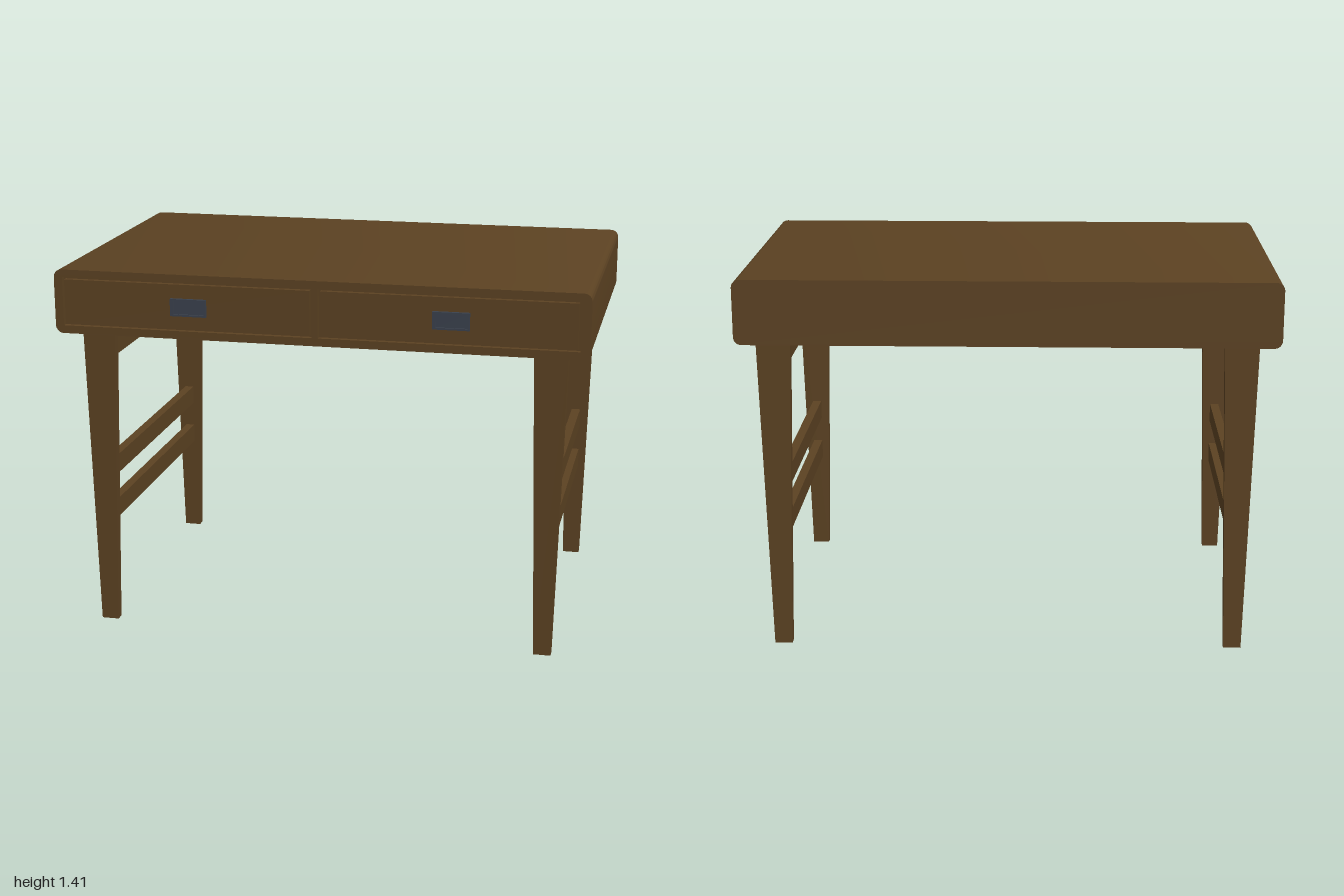
import * as THREE from 'three';
import { toCreasedNormals } from 'three/addons/utils/BufferGeometryUtils.js';

const wood = new THREE.MeshStandardMaterial({ color: 0x5c4222 });
wood.name = 'walnutWood';
const metal = new THREE.MeshStandardMaterial({ color: 0x3a414d });
metal.name = 'slateMetal';

function rect(Type, x0, x1, y0, y1) {
  const s = new Type();
  s.moveTo(x0, y0);
  s.lineTo(x1, y0);
  s.lineTo(x1, y1);
  s.lineTo(x0, y1);
  s.closePath();
  return s;
}

function roundedRect(x0, x1, y0, y1, r) {
  const s = new THREE.Shape();
  s.moveTo(x0 + r, y0);
  s.lineTo(x1 - r, y0);
  s.absarc(x1 - r, y0 + r, r, -Math.PI / 2, 0);
  s.lineTo(x1, y1 - r);
  s.absarc(x1 - r, y1 - r, r, 0, Math.PI / 2);
  s.lineTo(x0 + r, y1);
  s.absarc(x0 + r, y1 - r, r, Math.PI / 2, Math.PI);
  s.lineTo(x0, y0 + r);
  s.absarc(x0 + r, y0 + r, r, Math.PI, Math.PI * 1.5);
  return s;
}

// Extrudes a front-facing shape between two z positions
function slab(name, shape, z0, z1, material) {
  const geo = new THREE.ExtrudeGeometry(shape, { depth: z1 - z0, bevelEnabled: false, curveSegments: 8 });
  geo.translate(0, 0, z0);
  const mesh = new THREE.Mesh(toCreasedNormals(geo, 0.6), material);
  mesh.name = name;
  return mesh;
}

export function createModel() {
  const model = new THREE.Group();
  model.name = 'desk';
  const front = 0.607, back = -0.618, recess = 0.587;

  // Desk case with rounded long edges
  const outline = () => roundedRect(-1, 1, 1.172, 1.415, 0.03);
  model.add(slab('deskCase', outline(), back, recess, wood));

  // Front frame with two drawer openings
  const drawers = [
    { side: 'right', x0: -0.968, x1: -0.014, handle: -0.479 },
    { side: 'left', x0: 0.009, x1: 0.963, handle: 0.5 },
  ];
  const frame = outline();
  for (const d of drawers) frame.holes.push(rect(THREE.Path, d.x0, d.x1, 1.202, 1.386));
  model.add(slab('frontFrame', frame, recess, front, wood));

  for (const d of drawers) {
    // Drawer front sitting flush in its opening
    const gap = 0.008;
    model.add(slab(d.side + 'DrawerFront',
      rect(THREE.Shape, d.x0 + gap, d.x1 - gap, 1.202 + gap, 1.386 - gap), recess, front, wood));

    // Shallow recessed pull
    const rim = rect(THREE.Shape, d.handle - 0.068, d.handle + 0.068, 1.261, 1.326);
    rim.holes.push(rect(THREE.Path, d.handle - 0.056, d.handle + 0.06, 1.268, 1.32));
    model.add(slab(d.side + 'HandleRim', rim, front, 0.62, metal));
    model.add(slab(d.side + 'HandlePlate',
      rect(THREE.Shape, d.handle - 0.06, d.handle + 0.064, 1.265, 1.323), front, 0.613, metal));
  }

  for (const [side, s] of [['left', 1], ['right', -1]]) {
    const cx = 0.855 * s;
    // Tapered plank legs
    for (const [end, z0, z1] of [['Front', 0.505, 0.54], ['Back', back, -0.583]]) {
      const leg = new THREE.Shape([[-0.033, 0], [0.033, 0], [0.063, 1.172], [-0.063, 1.172]]
        .map(([x, y]) => new THREE.Vector2(cx + x, y)));
      model.add(slab(side + end + 'Leg', leg, z0, z1, wood));
    }
    // Side rails between the legs; the top one is a wider mounting cleat
    const rails = [
      ['LowerRail', 0.396, 0.47, 0.035],
      ['MiddleRail', 0.572, 0.646, 0.035],
      ['UpperRail', 1.045, 1.112, 0.035],
      ['TopCleat', 1.112, 1.172, 0.07],
    ];
    for (const [name, y0, y1, w] of rails) {
      const rail = new THREE.Mesh(new THREE.BoxGeometry(w, y1 - y0, 1.088), wood);
      rail.position.set(cx, (y0 + y1) / 2, -0.039);
      rail.name = side + name;
      model.add(rail);
    }
  }
  return model;
}
